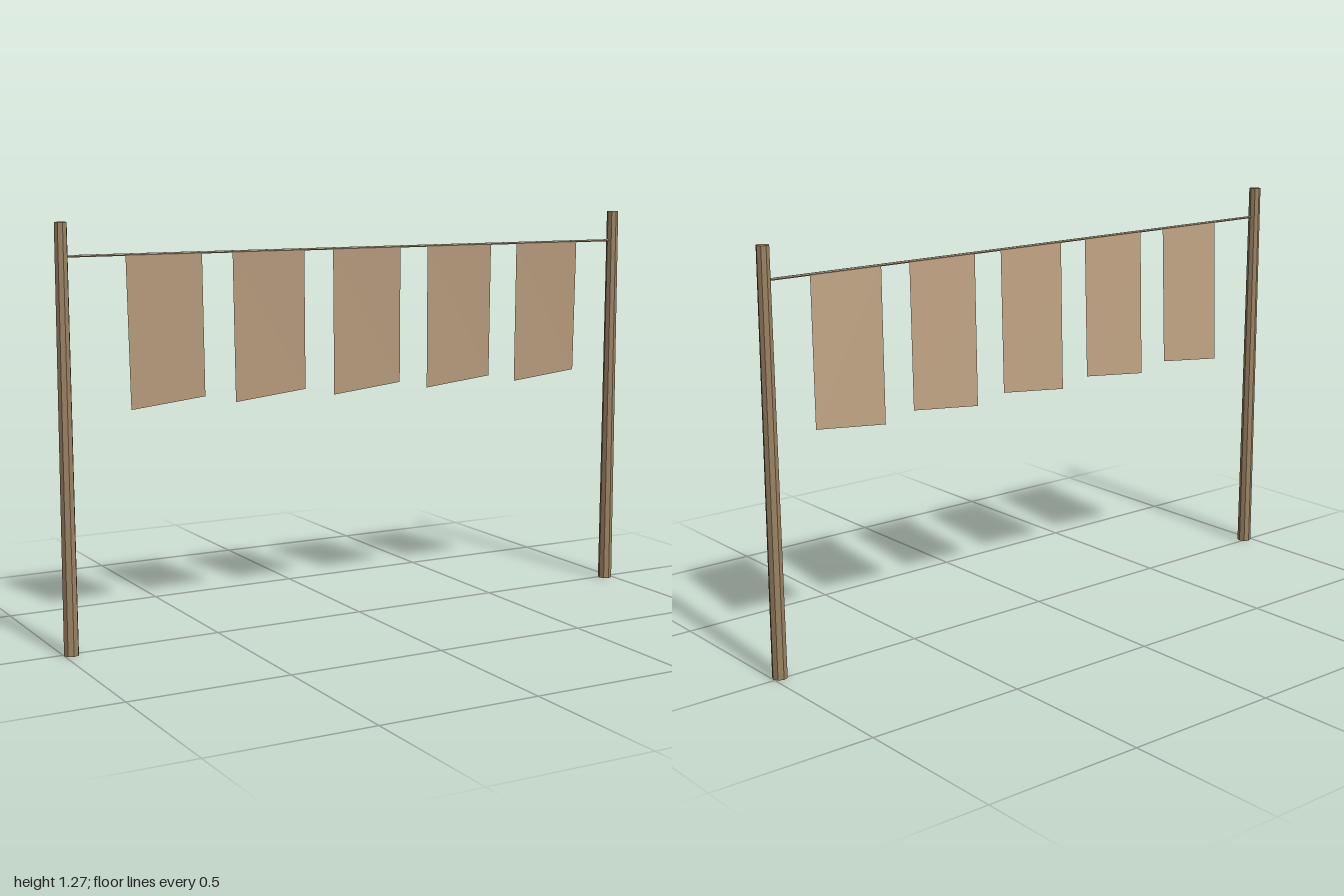
import * as THREE from 'three';

const AXIS_Z = 0.009;
const POST_X = 0.977;
const POST_HEIGHT = 1.27;
const ROPE_Y = 1.172;

export function createModel() {
  const group = new THREE.Group();
  const wood = new THREE.MeshStandardMaterial({ color: 0x9c8362, flatShading: true });
  const cord = new THREE.MeshStandardMaterial({ color: 0xa89679, flatShading: true });
  const cloth = new THREE.MeshStandardMaterial({ color: 0xbca080, flatShading: true, side: THREE.DoubleSide });

  const add = (name, geometry, material, x, y) => {
    const mesh = new THREE.Mesh(geometry, material);
    mesh.name = name;
    mesh.position.set(x, y, AXIS_Z);
    group.add(mesh);
    return mesh;
  };

  // Two slightly tapered eight-sided posts
  const postGeometry = new THREE.CylinderGeometry(0.019, 0.023, POST_HEIGHT, 8);
  add('leftPost', postGeometry, wood, POST_X, POST_HEIGHT / 2);
  add('rightPost', postGeometry, wood, -POST_X, POST_HEIGHT / 2);

  // Thin line strung between the posts
  const rope = add('rope', new THREE.CylinderGeometry(0.004, 0.004, 2 * POST_X, 6), cord, 0, ROPE_Y);
  rope.rotation.z = Math.PI / 2;

  // Hanging cloth, blown sideways and backwards at its lower edge
  const clothGeometry = new THREE.BufferGeometry();
  clothGeometry.setAttribute('position', new THREE.Float32BufferAttribute([
    -0.121, 0, 0,
    0.121, 0, 0,
    0.144, -0.438, -0.041,
    -0.096, -0.463, -0.041,
  ], 3));
  clothGeometry.setIndex([0, 3, 2, 0, 2, 1]);
  clothGeometry.computeVertexNormals();
  for (let i = 0; i < 5; i++) {
    add(`cloth${i + 1}`, clothGeometry, cloth, 0.023 + (i - 2) * 0.342, ROPE_Y);
  }

  return group;
}
